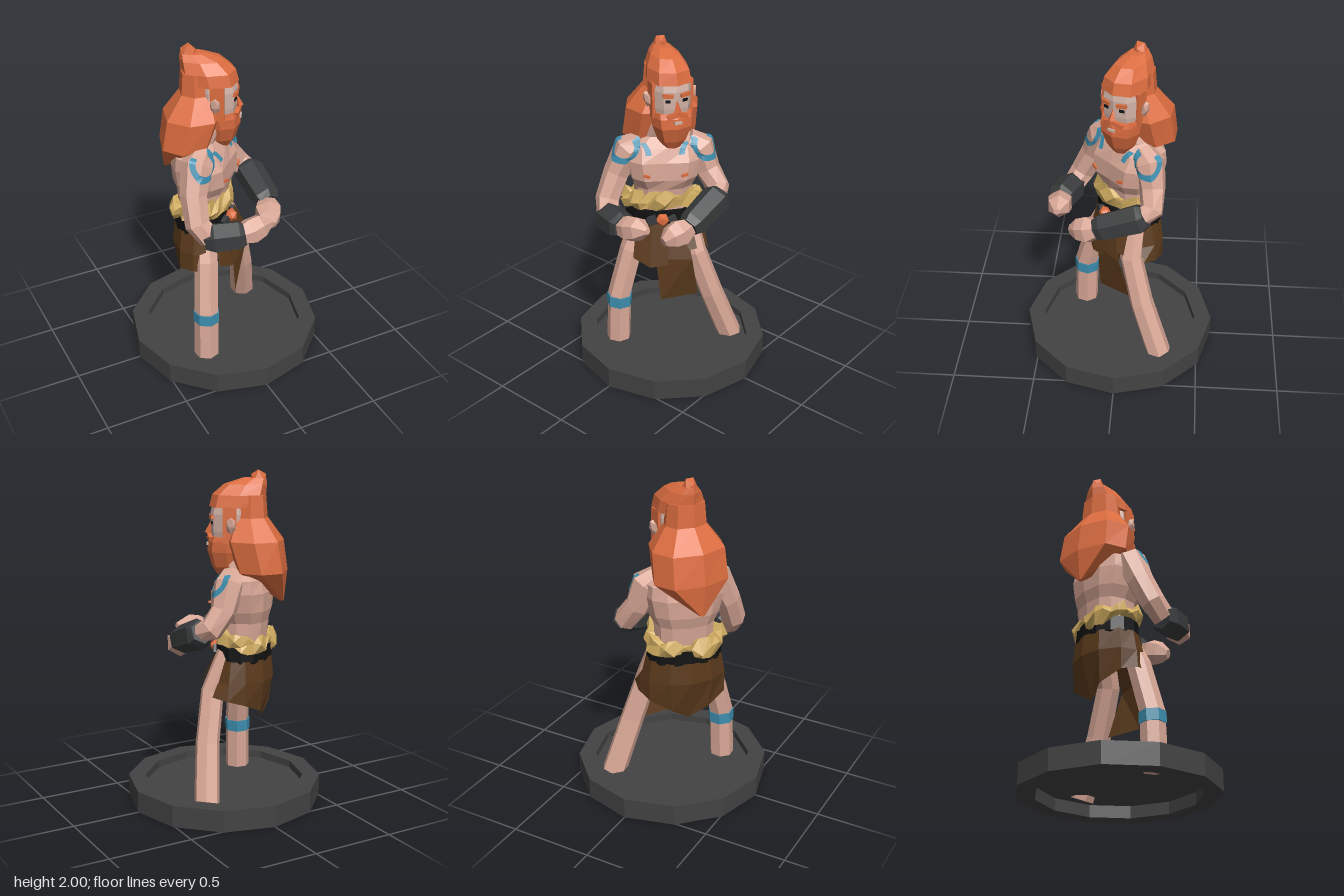
import * as THREE from 'three';

const mat = (name, color, side = THREE.FrontSide) => {
  const m = new THREE.MeshStandardMaterial({ color, side });
  m.name = name;
  return m;
};
const V = (x, y, z) => new THREE.Vector3(x, y, z);
// Ground-plan position turned into the body's own frame (the body stands at 45 degrees)
const L = (x, y, z) => V((x - z) * Math.SQRT1_2, y, (x + z) * Math.SQRT1_2);
const spow = (v, p) => Math.sign(v) * Math.abs(v) ** p;

// Flat-shaded mesh from triangles given as a list of points
function facets(name, pts, material) {
  const g = new THREE.BufferGeometry().setFromPoints(pts);
  g.computeVertexNormals();
  const m = new THREE.Mesh(g, material);
  m.name = name;
  return m;
}

// Skin a list of equal rings and cap both ends
function loft(name, rings, material) {
  const out = [], n = rings[0].length;
  const mid = r => r.reduce((s, p) => s.add(p), V(0, 0, 0)).divideScalar(n);
  for (let i = 0; i < rings.length - 1; i++)
    for (let j = 0; j < n; j++) {
      const k = (j + 1) % n, a = rings[i], b = rings[i + 1];
      out.push(a[j], a[k], b[k], a[j], b[k], b[j]);
    }
  const s = rings[0], e = rings[rings.length - 1], cs = mid(s), ce = mid(e);
  for (let j = 0; j < n; j++) {
    const k = (j + 1) % n;
    out.push(cs, s[k], s[j], ce, e[j], e[k]);
  }
  return facets(name, out, material);
}

// Open sheet from columns of points running downwards
function sheet(name, cols, material) {
  const out = [];
  for (let i = 0; i < cols.length - 1; i++)
    for (let k = 0; k < cols[i].length - 1; k++) {
      const a = cols[i], b = cols[i + 1];
      out.push(a[k + 1], b[k + 1], b[k], a[k + 1], b[k], a[k]);
    }
  return facets(name, out, material);
}

// Level ring: height, half width, front z, back z
const ring = (y, rx, zf, zb, n, cx = 0, p = 0.8) => Array.from({ length: n }, (_, j) => {
  const a = j / n * Math.PI * 2;
  return V(cx + rx * spow(Math.sin(a), p), y, (zf + zb) / 2 + (zf - zb) / 2 * spow(Math.cos(a), p));
});
const stack = (name, rows, n, material) =>
  loft(name, rows.map(r => ring(...r, n)), material);

// Tapered limb through ground-plan points [x, y, z, radius]
function limb(name, pts, material, n = 7) {
  const c = pts.map(p => L(p[0], p[1], p[2]));
  const all = c[c.length - 1].clone().sub(c[0]).normalize();
  const ref = Math.abs(all.y) > 0.7 ? V(0, 0, 1) : V(0, 1, 0);
  const rings = c.map((p, i) => {
    const t = c[Math.min(i + 1, c.length - 1)].clone().sub(c[Math.max(i - 1, 0)]).normalize();
    const u = ref.clone().addScaledVector(t, -ref.dot(t)).normalize();
    const v = t.clone().cross(u);
    return Array.from({ length: n }, (_, j) => {
      const a = j / n * Math.PI * 2, r = pts[i][3];
      return p.clone().addScaledVector(u, r * Math.cos(a)).addScaledVector(v, r * Math.sin(a));
    });
  });
  return loft(name, rings, material);
}

function box(name, size, pos, material, ry = 0, rz = 0) {
  const m = new THREE.Mesh(new THREE.BoxGeometry(...size), material);
  m.position.set(...pos);
  m.rotation.set(0, ry, rz);
  m.name = name;
  return m;
}

export function createModel() {
  const skin = mat('skin', 0xd9a897), face = mat('pale face', 0xd3b3a7);
  const hair = mat('orange hair', 0xdc6d40), blue = mat('blue paint', 0x3d8eae, THREE.DoubleSide);
  const fur = mat('golden fur', 0xd0ac60), brown = mat('brown leather', 0x5a3a1c, THREE.DoubleSide);
  const black = mat('black', 0x121212), grey = mat('dark bracer', 0x3a3c3d);
  const stone = mat('base grey', 0x434343);
  const root = new THREE.Group();
  root.name = 'warriorOnBase';

  // Hollow twelve-sided base with a raised rim
  root.add(loft('base', [[.48, .075], [.48, 0], [.59, 0], [.59, .13], [.485, .13], [.485, .085]]
    .map(([r, y]) => ring(y, r, r, -r, 12, 0, 1)), stone));

  const body = new THREE.Group();
  body.name = 'body';
  body.rotation.y = Math.PI / 4;
  root.add(body);

  // Torso with a crease between the chest muscles
  const cx = -0.035;
  const rows = [[.86, .19, .02, -.25], [1, .175, .02, -.25], [1.12, .18, .035, -.26], [1.19, .215, .075, -.28],
    [1.3, .24, .07, -.285], [1.38, .235, .02, -.265], [1.44, .145, -.02, -.2], [1.56, .075, .02, -.13]];
  const torsoRings = rows.map(r => ring(...r, 12, cx));
  [3, 4].forEach(i => { torsoRings[i][0].z -= 0.022; });
  const torso = loft('torso', torsoRings, skin);

  // Arms
  const rightArm = limb('rightUpperArm', [[-.16, 1.4, .06, .065], [-.23, 1.355, .11, .095], [-.277, 1.2, .172, .08],
    [-.287, 1.05, .245, .075], [-.235, .975, .3, .068]], skin);
  const leftArm = limb('leftUpperArm', [[.02, 1.4, -.13, .065], [.07, 1.355, -.18, .092], [.12, 1.21, -.2, .077],
    [.2, 1.11, -.2, .072], [.24, 1.08, -.13, .06]], skin);
  body.add(torso, rightArm, leftArm);
  body.add(
    limb('rightBracer', [[-.26, .965, .285, .068], [-.215, .975, .31, .092], [-.08, .985, .36, .088], [-.05, .99, .37, .07]], grey, 6),
    limb('leftBracer', [[.24, 1.095, -.165, .072], [.24, 1.075, -.13, .093], [.24, 1, .09, .084], [.238, .985, .125, .065]], grey, 6),
    limb('rightHand', [[-.08, .985, .365, .055], [-.01, .99, .36, .08], [.06, 1.01, .36, .072], [.13, 1.02, .365, .02]], skin, 6),
    limb('leftHand', [[.238, .99, .1, .05], [.21, .96, .17, .085], [.19, .945, .23, .072], [.175, .93, .28, .03]], skin, 6));

  // Legs and painted calf band
  body.add(
    limb('rightLeg', [[-.235, .065, .235, .076], [-.228, .4, .225, .074], [-.19, .7, .148, .072], [-.15, .93, .04, .07]], skin),
    limb('leftLeg', [[.27, .065, -.265, .077], [.2, .41, -.15, .073], [.127, .7, -.08, .07], [.03, .93, -.1, .068]], skin),
    limb('calfBand', [[-.23, .33, .227, .08], [-.228, .4, .225, .08]], blue));

  // Waist outline shared by belt, fur and skirt
  const waist = (deg, s, y) => {
    const a = deg * Math.PI / 180;
    return V(-.04 + .215 * s * Math.sin(a), y, -.115 + .155 * s * Math.cos(a));
  };
  const loop = (s, y, n = 14) => Array.from({ length: n }, (_, j) => waist(j * 360 / n, s, y));
  body.add(loft('belt', [loop(1, .87), loop(1.06, .89), loop(1.04, .98)], black));

  // Jagged fur waistband
  let seed = 7;
  const rnd = () => (seed = (seed * 16807) % 2147483647) / 2147483647;
  const furRings = [[.82, -.02], [1.04, -.045], [1.12, -.005], [1, .045], [.8, .03]].map(([s, dy]) =>
    Array.from({ length: 28 }, (_, j) => {
      const a = j * 360 / 28;
      return waist(a, s + (rnd() - .4) * .24, 1.02 + .035 * Math.cos(a * Math.PI / 180) + dy + (rnd() - .5) * .06);
    }));
  body.add(loft('furWaistband', furRings, fur));

  // Buckle
  const buckle = new THREE.Mesh(new THREE.IcosahedronGeometry(.042, 0), hair);
  buckle.name = 'buckle';
  buckle.position.set(-.056, .94, .065);
  body.add(buckle);
  [-1, 1].forEach(s => body.add(box('buckleSide', [.05, .05, .04], [-.056 + s * .06, .93, .045], grey, s * .3, .4)));

  // Back skirt wrapping both hips; columns: angle, bottom height, middle scale, bottom scale
  body.add(sheet('backSkirt', [[58, .69, 1.24, 1.5], [82, .67, 1.22, 1.3], [112, .64, 1.17, 1.17], [148, .58, 1.15, .98],
    [180, .51, 1.15, .68], [212, .58, 1.15, .98], [248, .64, 1.18, 1.18], [278, .66, 1.2, 1.25], [300, .66, 1.24, 1.4]]
    .map(([a, yb, sm, sb]) => [waist(a, 1.07, .9), waist(a, sm, .77), waist(a, sb, yb)]), brown));
  // Front flaps and the long apron between them
  body.add(
    sheet('rightFrontFlap', [[V(-.21, .9, 0), V(-.235, .68, .055)], [V(-.12, .905, .045), V(-.135, .63, .1)],
      [V(0, .905, .055), V(-.03, .65, .11)]], brown),
    sheet('leftFrontFlap', [[V(.03, .905, .05), V(.1, .75, .112)], [V(.12, .9, .03), V(.15, .75, .1)]], brown),
    sheet('apron', [[V(-.13, .905, .04), V(-.1, .68, .09), V(-.07, .4, .1)],
      [V(.08, .905, .045), V(.12, .68, .112), V(.165, .4, .045)]], brown));

  // Painted strips laid onto the skin: edge(t, side) gives a start and an aim point
  const caster = new THREE.Raycaster();
  function paint(name, n, edge) {
    const at = (t, s) => {
      const [from, to] = edge(t, s);
      caster.set(from, to.clone().sub(from).normalize());
      const h = caster.intersectObjects([torso, rightArm, leftArm], false)[0];
      return h.point.clone().addScaledVector(h.face.normal, .006);
    };
    const cols = Array.from({ length: n + 1 }, (_, i) => [at(i / n, 0), at(i / n, 1)]);
    body.add(sheet(name, cols, blue));
  }
  [[-1, L(-.22, 1.33, .11)], [1, L(.068, 1.33, -.178)]].forEach(([s, c]) => {
    const axis = V(s * .4, .5, .65).normalize();
    const u = V(0, 1, 0).addScaledVector(axis, -axis.y).normalize(), v = axis.clone().cross(u);
    paint('shoulderRing', 36, (t, e) => {
      const a = .6 + t * 5.1, k = .65 + e * .34;
      const d = axis.clone().multiplyScalar(Math.cos(k))
        .addScaledVector(u, Math.sin(k) * Math.cos(a)).addScaledVector(v, Math.sin(k) * Math.sin(a));
      return [c.clone().addScaledVector(d, .4), c];
    });
    paint('chestStripe', 6, (t, e) => {
      const x = cx + s * (.08 + .03 * t * t + e * .035), y = 1.33 + .085 * t;
      return [V(x, y + .3, .6), V(x, y, 0)];
    });
    // Nipples
    body.add(box('nipple', [.04, .016, .012], [cx + s * .112, 1.23, .066], hair, s * .25, s * .2));
  });

  // Head, turned a little to its left
  const head = new THREE.Group();
  head.name = 'head';
  head.position.set(-.003, 0, -.046);
  head.rotation.y = Math.PI / 12;
  body.add(head);
  head.add(stack('face', [[1.5, .07, .07, -.08], [1.56, .1, .11, -.09], [1.65, .113, .123, -.1],
    [1.75, .116, .125, -.11], [1.83, .105, .105, -.1]], 10, face));
  head.add(stack('beard', [[1.39, .045, .085, -.01], [1.44, .085, .115, -.06], [1.53, .118, .143, -.08],
    [1.59, .125, .138, -.08], [1.62, .122, .122, -.06]], 8, hair));
  const nose = new THREE.Mesh(new THREE.ConeGeometry(.024, .075, 4).toNonIndexed(), hair);
  nose.geometry.computeVertexNormals();
  nose.name = 'nose';
  nose.position.set(0, 1.67, .128);
  nose.rotation.x = -.2;
  head.add(nose, box('lip', [.045, .016, .012], [0, 1.572, .142], face));
  [-1, 1].forEach(s => {
    head.add(box('eye', [.03, .016, .008], [s * .052, 1.698, .114], black, s * .23));
    head.add(box('brow', [.06, .022, .02], [s * .052, 1.732, .117], hair, s * .23, s * .1));
    head.add(box('moustache', [.065, .028, .024], [s * .03, 1.612, .128], hair, s * .2, -s * .3));
    head.add(box('sideburn', [.026, .21, .08], [s * .112, 1.69, .015], hair));
    const ear = new THREE.Mesh(new THREE.IcosahedronGeometry(.045, 0), skin);
    ear.name = 'ear';
    ear.scale.set(.5, 1.2, .7);
    ear.position.set(s * .138, 1.69, .005);
    ear.rotation.z = -s * .25;
    head.add(ear);
  });

  // Hair: crown, topknot and long pointed mass down the back
  head.add(stack('crownHair', [[1.79, .13, .132, -.18], [1.86, .12, .114, -.2], [1.92, .085, .045, -.205],
    [1.955, .045, -.06, -.2]], 8, hair));
  const knot = new THREE.Mesh(new THREE.IcosahedronGeometry(.056, 0), hair);
  knot.name = 'topknot';
  knot.scale.set(.85, 1.3, .9);
  knot.position.set(0, 1.938, -.155);
  head.add(knot);
  head.add(stack('backHair', [[1.23, .015, -.285, -.31], [1.42, .235, -.01, -.33], [1.6, .225, .05, -.305],
    [1.73, .126, -.005, -.21], [1.86, .114, -.02, -.2]], 8, hair));
  return root;
}
